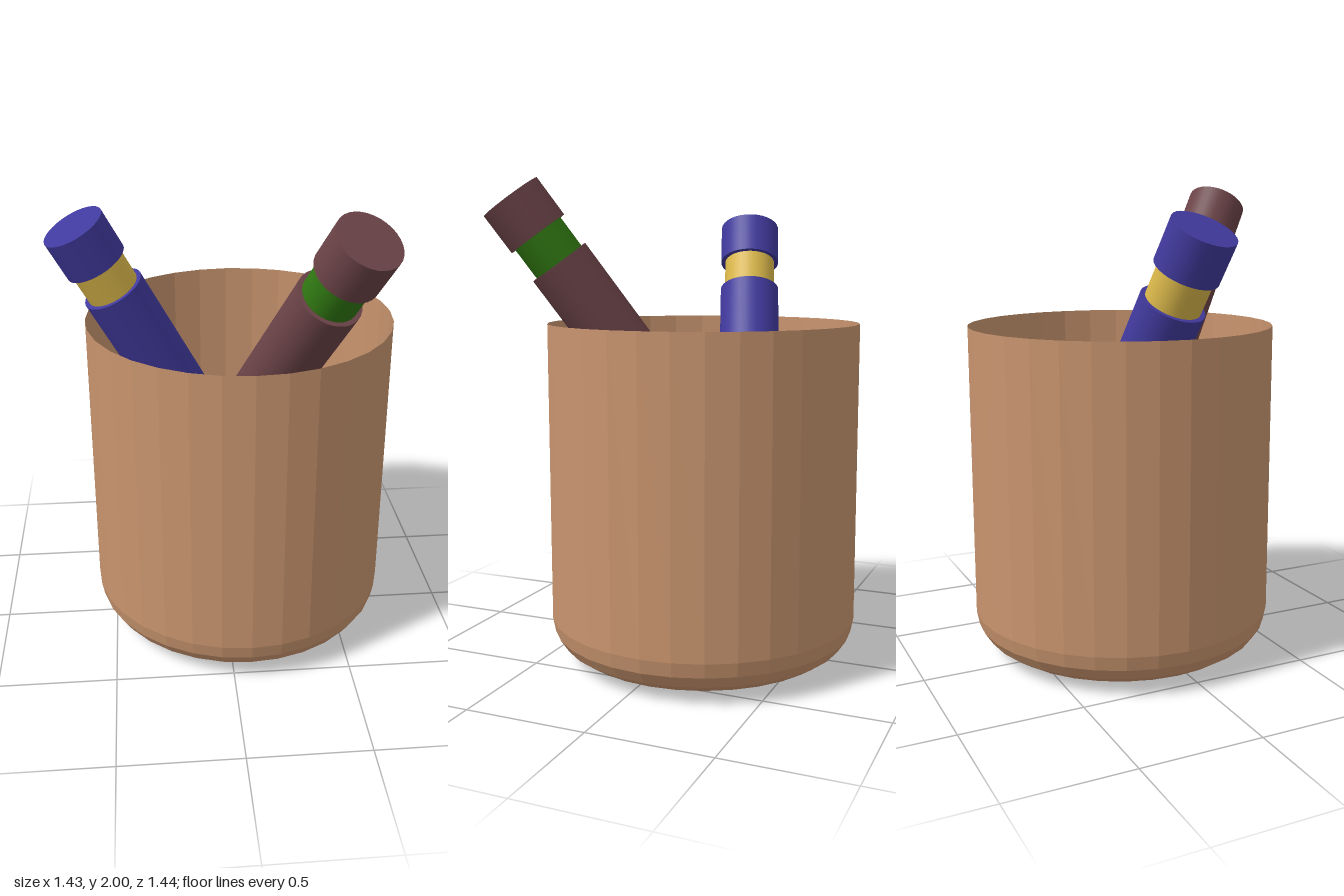
import * as THREE from 'three';

function paint(name, color, extra = {}) {
  const m = new THREE.MeshStandardMaterial({ color, ...extra });
  m.name = name;
  return m;
}

function part(name, geometry, material) {
  const mesh = new THREE.Mesh(geometry, material);
  mesh.name = name;
  return mesh;
}

// A marker standing along +y with its tip at the origin, then aimed at its top end
function marker(name, tip, top, barrelPaint, bandPaint, tipPaint) {
  const axis = top.clone().sub(tip);
  const length = axis.length();
  const R = 0.132, bandR = 0.113;
  const tipLen = 0.2, bandStart = length - 0.32, capStart = length - 0.18;

  const group = new THREE.Group();
  group.name = name;
  const section = (label, rTop, rBottom, y0, y1, material) => {
    const g = new THREE.CylinderGeometry(rTop, rBottom, y1 - y0, 32);
    g.translate(0, (y0 + y1) / 2, 0);
    group.add(part(label, g, material));
  };
  section('tip', 0.07, 0, 0, tipLen, tipPaint);
  section('barrel', R, R, tipLen, bandStart, barrelPaint);
  section('band', bandR, bandR, bandStart, capStart, bandPaint);
  section('cap', R, R, capStart, length, barrelPaint);

  group.position.copy(tip);
  group.quaternion.setFromUnitVectors(new THREE.Vector3(0, 1, 0), axis.normalize());
  return group;
}

export function createModel() {
  const model = new THREE.Group();
  model.name = 'penCup';

  const clay = paint('clay', 0xc8946e, { flatShading: true, side: THREE.DoubleSide });
  const blue = paint('blue', 0x413a9e);
  const maroon = paint('maroon', 0x6b4347);
  const green = paint('green', 0x307812);
  const yellow = paint('yellow', 0xdcb94b);

  // Thin cup with a rounded lower edge
  const radius = 0.645, bevel = 0.155, floor = 0.025;
  const profile = [new THREE.Vector2(0, floor)];
  for (let i = 0; i <= 4; i++) {
    const a = (i / 4) * Math.PI / 2;
    profile.push(new THREE.Vector2(
      radius - bevel + bevel * Math.sin(a),
      floor + bevel * (1 - Math.cos(a))));
  }
  profile.push(new THREE.Vector2(radius, 1.415));
  const cup = part('cup', new THREE.LatheGeometry(profile, 32), clay);
  cup.position.set(0.07, 0, -0.08);
  model.add(cup);

  // Two markers leaning against the rim
  model.add(marker('blueMarker',
    new THREE.Vector3(0.355, 0, -0.385), new THREE.Vector3(-0.6, 1.82, -0.045),
    blue, yellow, yellow));
  model.add(marker('maroonMarker',
    new THREE.Vector3(-0.18, 0.27, -0.43), new THREE.Vector3(0.452, 1.922, 0.6),
    maroon, green, yellow));

  return model;
}
